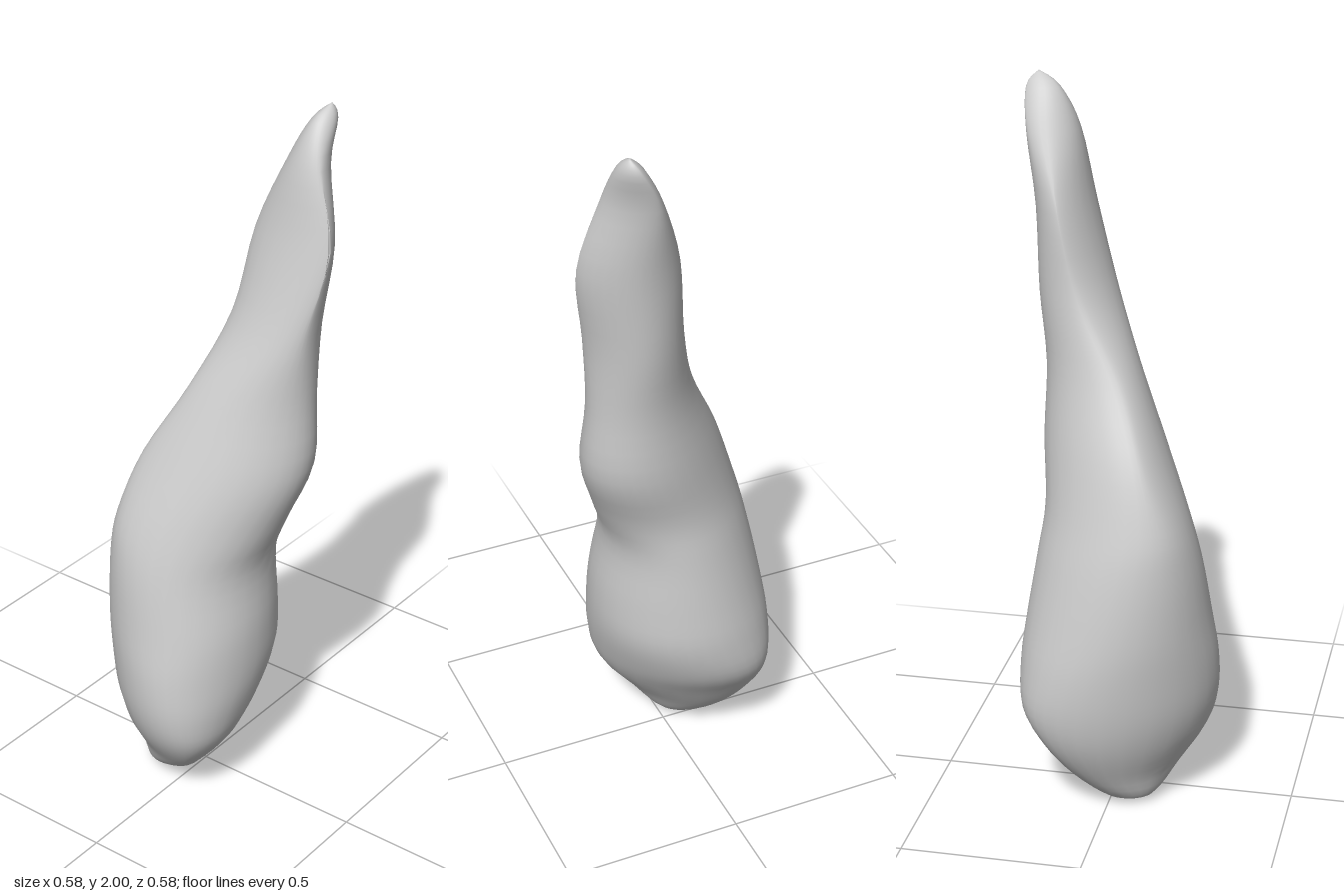
import * as THREE from 'three';

// Cross-sections from base to tip: [height, reach along each of 8 directions],
// directions going round every 45 degrees from +x through +z.
const sections = [
  [0.02, 0.00, 0.05, 0.12, -0.16, -0.14, -0.10, -0.02, -0.02],
  [0.10, 0.08, 0.16, 0.19, -0.18, -0.21, -0.18, -0.12, 0.03],
  [0.20, 0.16, 0.23, 0.26, -0.22, -0.26, -0.26, -0.19, 0.10],
  [0.30, 0.19, 0.25, 0.29, -0.245, -0.285, -0.30, -0.25, 0.16],
  [0.42, 0.197, 0.25, 0.287, -0.26, -0.287, -0.295, -0.255, 0.21],
  [0.55, 0.195, 0.235, 0.265, -0.27, -0.275, -0.265, -0.245, 0.21],
  [0.72, 0.18, 0.20, 0.24, -0.265, -0.25, -0.22, -0.225, 0.20],
  [0.85, 0.22, 0.19, 0.20, -0.25, -0.21, -0.19, -0.21, 0.225],
  [1.02, 0.27, 0.185, 0.125, -0.18, -0.15, -0.155, -0.23, 0.29],
  [1.22, 0.255, 0.155, 0.035, -0.06, -0.045, -0.125, -0.22, 0.30],
  [1.42, 0.265, 0.14, -0.045, 0.07, 0.005, -0.11, -0.25, 0.305],
  [1.65, 0.29, 0.125, -0.115, 0.135, 0.035, -0.11, -0.26, 0.33],
  [1.85, 0.245, 0.06, -0.15, 0.21, 0.11, -0.11, -0.28, 0.325],
  [1.96, 0.23, 0.005, -0.20, 0.27, 0.165, -0.08, -0.29, 0.345],
];
const base = new THREE.Vector3(-0.08, 0, 0.04);
const tip = new THREE.Vector3(0.205, 2, -0.26);
const AROUND = 32, STEPS = 4;

function catmull(a, b, c, d, t) {
  return 0.5 * (2 * b + (c - a) * t + (2 * a - 5 * b + 4 * c - d) * t * t
    + (3 * b - a - 3 * c + d) * t * t * t);
}

// Smooth rounded outline touching the 8 reaches (Fourier support curve)
function outline(row) {
  const reach = row.slice(1).map((r, k) => (k > 2 && k < 7 ? -r : r));
  const gain = [0.125, 0.25, 0.25, 0.12];
  const points = [];
  for (let j = 0; j < AROUND; j++) {
    const a = (j / AROUND) * Math.PI * 2;
    let h = 0, dh = 0;
    reach.forEach((r, k) => {
      const p = a - (k * Math.PI) / 4;
      gain.forEach((g, n) => {
        h += r * g * Math.cos(n * p);
        dh -= r * g * n * Math.sin(n * p);
      });
    });
    points.push([h * Math.cos(a) - dh * Math.sin(a), row[0], h * Math.sin(a) + dh * Math.cos(a)]);
  }
  return points;
}

function loft() {
  const rings = sections.map(outline);
  const pole = (p) => Array.from({ length: AROUND }, () => p.toArray());
  const all = [pole(base), ...rings, pole(tip)];
  const at = (i) => all[Math.min(Math.max(i, 0), all.length - 1)];
  const positions = [...base.toArray()], index = [];

  // Rings between the two end points
  const count = (all.length - 1) * STEPS - 1;
  for (let s = 1; s <= count; s++) {
    const i = Math.floor(s / STEPS), t = (s % STEPS) / STEPS;
    for (let j = 0; j < AROUND; j++) {
      for (let c = 0; c < 3; c++) {
        positions.push(catmull(at(i - 1)[j][c], at(i)[j][c], at(i + 1)[j][c], at(i + 2)[j][c], t));
      }
    }
  }
  positions.push(...tip.toArray());

  const id = (s, j) => 1 + s * AROUND + (j % AROUND);
  const last = 1 + count * AROUND;
  for (let j = 0; j < AROUND; j++) {
    index.push(0, id(0, j), id(0, j + 1));
    for (let s = 0; s < count - 1; s++) {
      index.push(id(s, j), id(s + 1, j), id(s, j + 1));
      index.push(id(s, j + 1), id(s + 1, j), id(s + 1, j + 1));
    }
    index.push(last, id(count - 1, j + 1), id(count - 1, j));
  }
  const geometry = new THREE.BufferGeometry();
  geometry.setAttribute('position', new THREE.Float32BufferAttribute(positions, 3));
  geometry.setIndex(index);
  geometry.computeVertexNormals();
  return geometry;
}

export function createModel() {
  const group = new THREE.Group();
  group.name = 'taperedHorn';
  const body = new THREE.Mesh(loft(), new THREE.MeshStandardMaterial({ color: 0xcccccc }));
  body.name = 'hornBody';
  group.add(body);
  return group;
}
